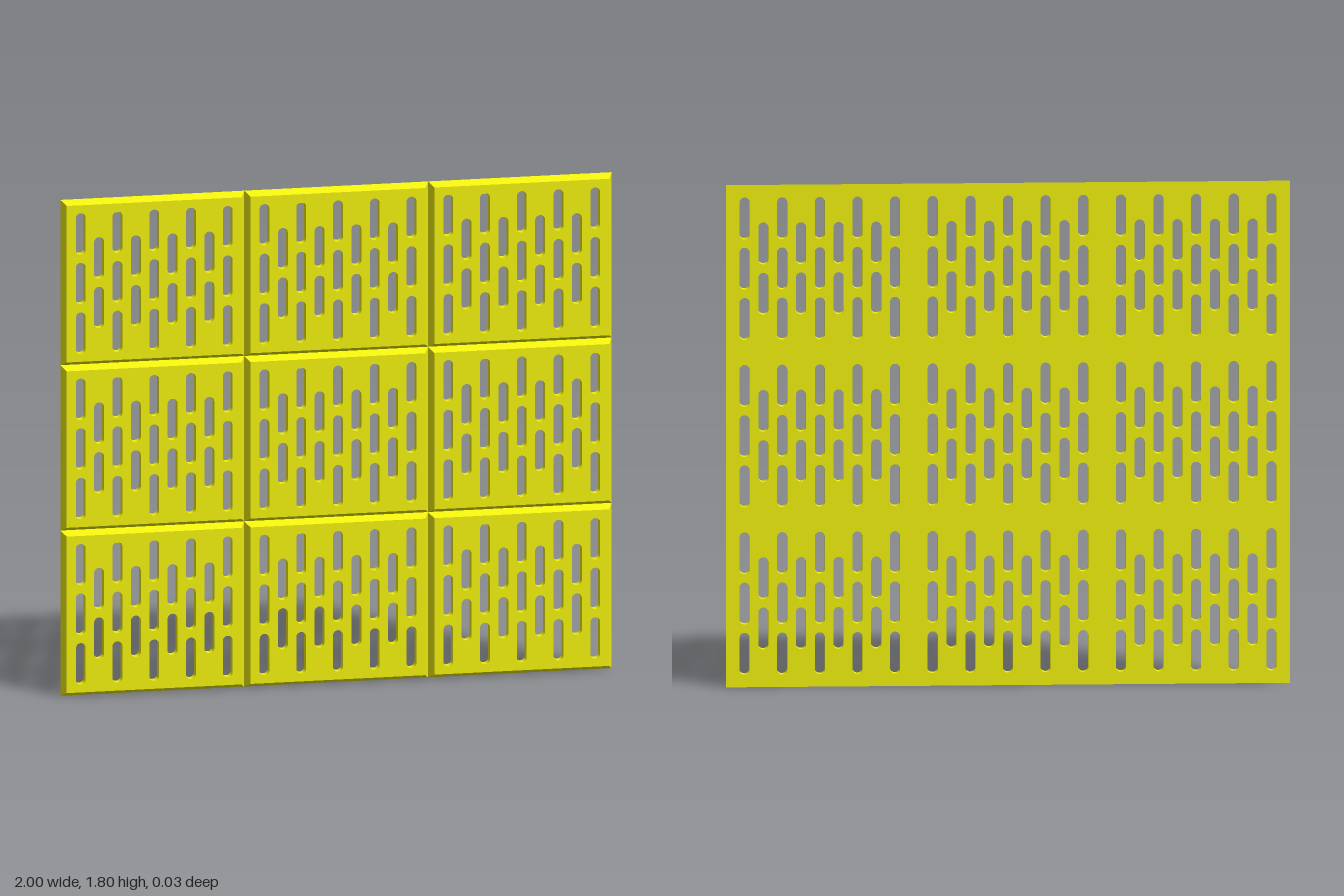
import * as THREE from 'three';

const W = 2 / 3, H = 0.6, DEPTH = 0.032, BEVEL = 0.016;
const SLOT_R = 0.018, SLOT_HALF = 0.075;

// Upright slot with rounded ends
function slot(x, y) {
  const p = new THREE.Path(), s = SLOT_HALF - SLOT_R;
  p.absarc(x, y + s, SLOT_R, 0, Math.PI, false);
  p.absarc(x, y - s, SLOT_R, Math.PI, 2 * Math.PI, false);
  p.closePath();
  return p;
}

function panelGeometry() {
  const w = W / 2, h = H / 2;
  const shape = new THREE.Shape([[-w, -h], [w, -h], [w, h], [-w, h]].map(c => new THREE.Vector2(...c)));

  // Nine staggered columns, alternating three and two slots
  for (let i = -4; i <= 4; i++) {
    const rows = i % 2 === 0 ? [-0.18, 0, 0.18] : [-0.09, 0.09];
    for (const y of rows) shape.holes.push(slot(i * W / 10, y));
  }
  const geo = new THREE.ExtrudeGeometry(shape, { depth: DEPTH, bevelEnabled: false, curveSegments: 8 });
  geo.translate(0, 0, -DEPTH / 2);

  // Pull the front corners inward to slope the four outer sides
  const pos = geo.attributes.position;
  for (let i = 0; i < pos.count; i++) {
    const x = pos.getX(i), y = pos.getY(i);
    if (pos.getZ(i) > 0 && Math.abs(x) > w - 0.001 && Math.abs(y) > h - 0.001) {
      pos.setXY(i, x - Math.sign(x) * BEVEL, y - Math.sign(y) * BEVEL);
    }
  }
  geo.computeVertexNormals();
  return geo;
}

export function createModel() {
  const group = new THREE.Group();
  group.name = 'slottedPanelWall';
  const geo = panelGeometry();
  const material = new THREE.MeshStandardMaterial({ color: 0xf0f00e });

  // Three by three grid of identical panels
  for (let row = 0; row < 3; row++) {
    for (let col = 0; col < 3; col++) {
      const panel = new THREE.Mesh(geo, material);
      panel.name = `panelRow${row + 1}Column${col + 1}`;
      panel.position.set((col - 1) * W, (row + 0.5) * H, 0);
      group.add(panel);
    }
  }
  return group;
}
